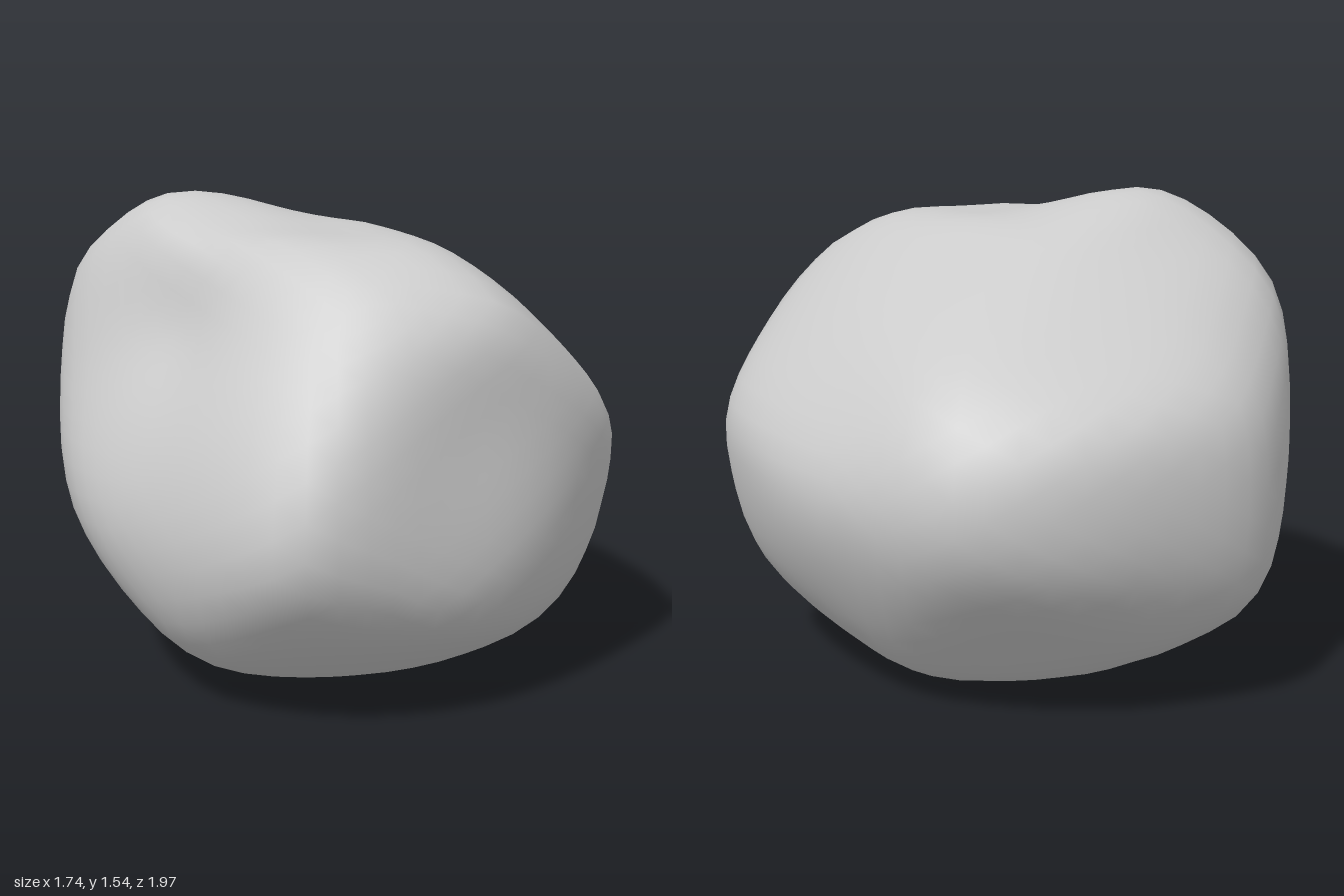
import * as THREE from 'three';
import { mergeVertices } from 'three/addons/utils/BufferGeometryUtils.js';

// A smooth closed outline around the boulder's middle. It lies in a plane turned
// about y and tilted, in degrees; its points run across and up that plane.
function outline(turn, tilt, points) {
  const a = THREE.MathUtils.degToRad(turn), e = THREE.MathUtils.degToRad(tilt);
  const curve = new THREE.CatmullRomCurve3(points.map(([u, v]) => new THREE.Vector3(u, v, 0)), true);
  return {
    points: curve.getPoints(60),
    across: new THREE.Vector3(Math.cos(a), 0, -Math.sin(a)),
    up: new THREE.Vector3(-Math.sin(a) * Math.sin(e), Math.cos(e), -Math.cos(a) * Math.sin(e)),
  };
}

const front = outline(0, 0, [
  [-0.53, 0.78], [-0.05, 0.67], [0.24, 0.67], [0.54, 0.47], [0.88, 0.07], [0.88, -0.1],
  [0.68, -0.57], [0.37, -0.75], [-0.15, -0.78], [-0.57, -0.67], [-0.88, -0.11], [-0.76, 0.56]]);
const side = outline(90, 0, [
  [-0.65, 0.61], [-0.18, 0.68], [0.18, 0.78], [0.38, 0.61], [0.9, 0.32], [1, -0.11],
  [0.65, -0.67], [0.1, -0.78], [-0.5, -0.76], [-0.87, -0.4], [-1, -0.11]]);
const top = outline(0, 90, [
  [-0.02, 1], [0.43, 0.91], [0.63, 0.82], [0.81, 0.4], [0.88, -0.16], [0.8, -0.5],
  [0.26, -0.82], [-0.36, -1], [-0.5, -0.88], [-0.88, -0.15], [-0.75, 0.57], [-0.46, 0.91]]);
const frontCorner = outline(36, 25, [
  [-0.32, 0.87], [-0.5, 0.77], [-0.65, 0.4], [-0.89, -0.27], [-0.78, -0.54], [-0.3, -0.83],
  [0.28, -0.82], [0.59, -0.63], [0.96, 0.03], [0.85, 0.31], [0.23, 0.68]]);
const backCorner = outline(216, 25, [
  [0.02, 0.8], [0.39, 0.75], [0.79, 0.26], [0.88, -0.16], [0.64, -0.6],
  [0.08, -0.73], [-0.23, -0.85], [-0.56, -0.66], [-0.96, -0.22], [-0.83, 0.13]]);
const underside = outline(144, -25, [
  [-0.91, 0.12], [-0.55, 0.46], [0.4, 0.65], [0.8, 0.44], [0.92, 0.23], [0.9, -0.2],
  [0.48, -0.7], [0.26, -0.84], [-0.05, -0.86], [-0.69, -0.6], [-0.91, -0.04]]);
const outlines = [front, side, top, frontCorner, backCorner, underside];

// Shallow hollows: in front of the raised peak, and on the front face
const hollows = [
  { dir: new THREE.Vector3(-0.5, 0.4, 0.33).normalize(), depth: 0.1 },
  { dir: new THREE.Vector3(0.2, 0.17, 0.75).normalize(), depth: 0.05 },
];

// Distance along the ray (a, b) to an outline
function reach(points, a, b) {
  for (let i = 0; i < points.length - 1; i++) {
    const p = points[i], q = points[i + 1];
    const ex = q.x - p.x, ey = q.y - p.y;
    const det = a * ey - b * ex;
    if (Math.abs(det) < 1e-9) continue;
    const t = (p.x * ey - p.y * ex) / det;
    const s = (p.x * b - p.y * a) / det;
    if (t > 0 && s >= -1e-6 && s <= 1 + 1e-6) return t;
  }
  return Infinity;
}

// Rounded minimum of all the outlines in one direction, less the hollows
function radius(d) {
  const p = 24;
  let sum = 0;
  for (const { points, across, up } of outlines) sum += reach(points, d.dot(across), d.dot(up)) ** -p;
  let r = 1.02 * sum ** (-1 / p);
  for (const { dir, depth } of hollows) r *= 1 - depth * Math.exp((d.dot(dir) - 1) * 14);
  return r;
}

export function createModel() {
  let geometry = new THREE.IcosahedronGeometry(1, 11);
  geometry.deleteAttribute('uv');
  geometry.deleteAttribute('normal');
  geometry = mergeVertices(geometry, 1e-4);

  const pos = geometry.attributes.position;
  const d = new THREE.Vector3();
  for (let i = 0; i < pos.count; i++) {
    d.fromBufferAttribute(pos, i).normalize();
    d.multiplyScalar(radius(d));
    pos.setXYZ(i, d.x, d.y, d.z);
  }

  // Stand it on the ground
  geometry.computeBoundingBox();
  geometry.translate(0, -geometry.boundingBox.min.y, 0);
  geometry.computeVertexNormals();

  const boulder = new THREE.Mesh(geometry, new THREE.MeshStandardMaterial({ color: 0xcccccc }));
  boulder.name = 'boulder';
  const group = new THREE.Group();
  group.name = 'rock';
  group.add(boulder);
  return group;
}
